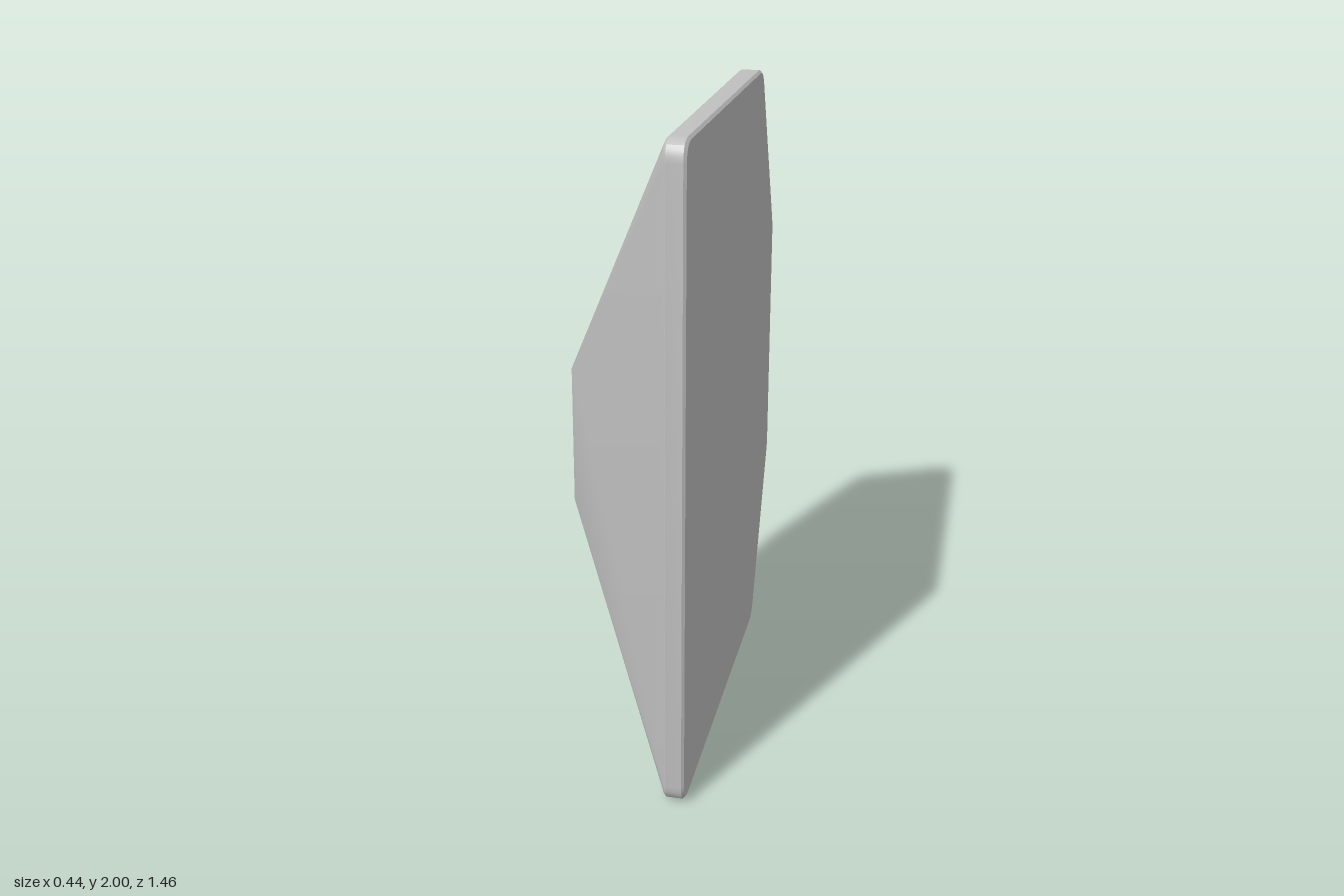
import * as THREE from 'three';
import { toCreasedNormals } from 'three/addons/utils/BufferGeometryUtils.js';

// Outline corners: z, y, rounding length, matching plateau corner (z, y)
const CORNERS = [
  [0.73, 2, 0.06, 0.34, 1.22],
  [-0.455, 2, 0.045, -0.1, 1.22],
  [-0.73, 1.42, 0.025, -0.1, 1.22],
  [-0.73, 0.58, 0.025, -0.1, 0.79],
  [-0.455, 0, 0.045, -0.1, 0.79],
  [0.73, 0, 0.06, 0.34, 0.79],
];
const STEPS = 6;

// Rounded outline, each point paired with its plateau corner
function outline() {
  const points = [];
  const n = CORNERS.length;
  CORNERS.forEach(([z, y, length, pz, py], i) => {
    const corner = new THREE.Vector2(z, y);
    const towards = ([oz, oy]) =>
      new THREE.Vector2(oz, oy).sub(corner).setLength(length).add(corner);
    const arc = new THREE.QuadraticBezierCurve(
      towards(CORNERS[(i + n - 1) % n]), corner, towards(CORNERS[(i + 1) % n]));
    for (const p of arc.getPoints(STEPS)) points.push({ z: p.x, y: p.y, pz, py });
  });
  return points;
}

// The rim deepens towards the back edge; the flat face leans slightly
const rimX = (z) => (z < -0.47 ? 0.145 + (z + 0.47) * 0.52 : 0.145);
const faceX = (z) => 0.2135 - z * 0.009;

function bodyGeometry() {
  const points = outline();
  const n = points.length;
  const inset = (p, s, x) => [x, 1 + (p.y - 1) * s, p.z * s];
  // Cross-sections from the raised plateau to the flat face
  const rings = [
    (p) => [-0.22, p.py, p.pz],
    (p) => inset(p, 0.993, rimX(p.z) - 0.002),
    (p) => inset(p, 1, rimX(p.z) + 0.006),
    (p) => inset(p, 1, faceX(p.z) - 0.008),
    (p) => inset(p, 0.992, faceX(p.z)),
  ];
  const positions = rings.flatMap((ring) => points.flatMap(ring));
  const index = [];
  for (let k = 0; k < rings.length - 1; k++) {
    for (let i = 0; i < n; i++) {
      const j = (i + 1) % n;
      const a = k * n + i, b = k * n + j;
      // plateau points coincide within a corner, so skip those empty triangles
      const same = k === 0 && points[i].pz === points[j].pz && points[i].py === points[j].py;
      if (!same) index.push(a, a + n, b);
      index.push(b, a + n, b + n);
    }
  }
  // Plateau and flat face caps
  const plateau = positions.length / 3;
  positions.push(-0.22, 1.005, 0.12, faceX(0), 1, 0);
  const last = (rings.length - 1) * n;
  for (let i = 0; i < n; i++) {
    const j = (i + 1) % n;
    if (points[i].pz !== points[j].pz || points[i].py !== points[j].py) index.push(plateau, i, j);
    index.push(plateau + 1, last + j, last + i);
  }
  const geometry = new THREE.BufferGeometry();
  geometry.setAttribute('position', new THREE.Float32BufferAttribute(positions, 3));
  geometry.setIndex(index);
  return toCreasedNormals(geometry, 0.3);
}

export function createModel() {
  const grey = new THREE.MeshStandardMaterial({ color: 0xc0c0c0 });
  grey.name = 'light grey';
  const body = new THREE.Mesh(bodyGeometry(), grey);
  body.name = 'facetedPanel';
  const group = new THREE.Group();
  group.name = 'panel';
  group.add(body);
  return group;
}
